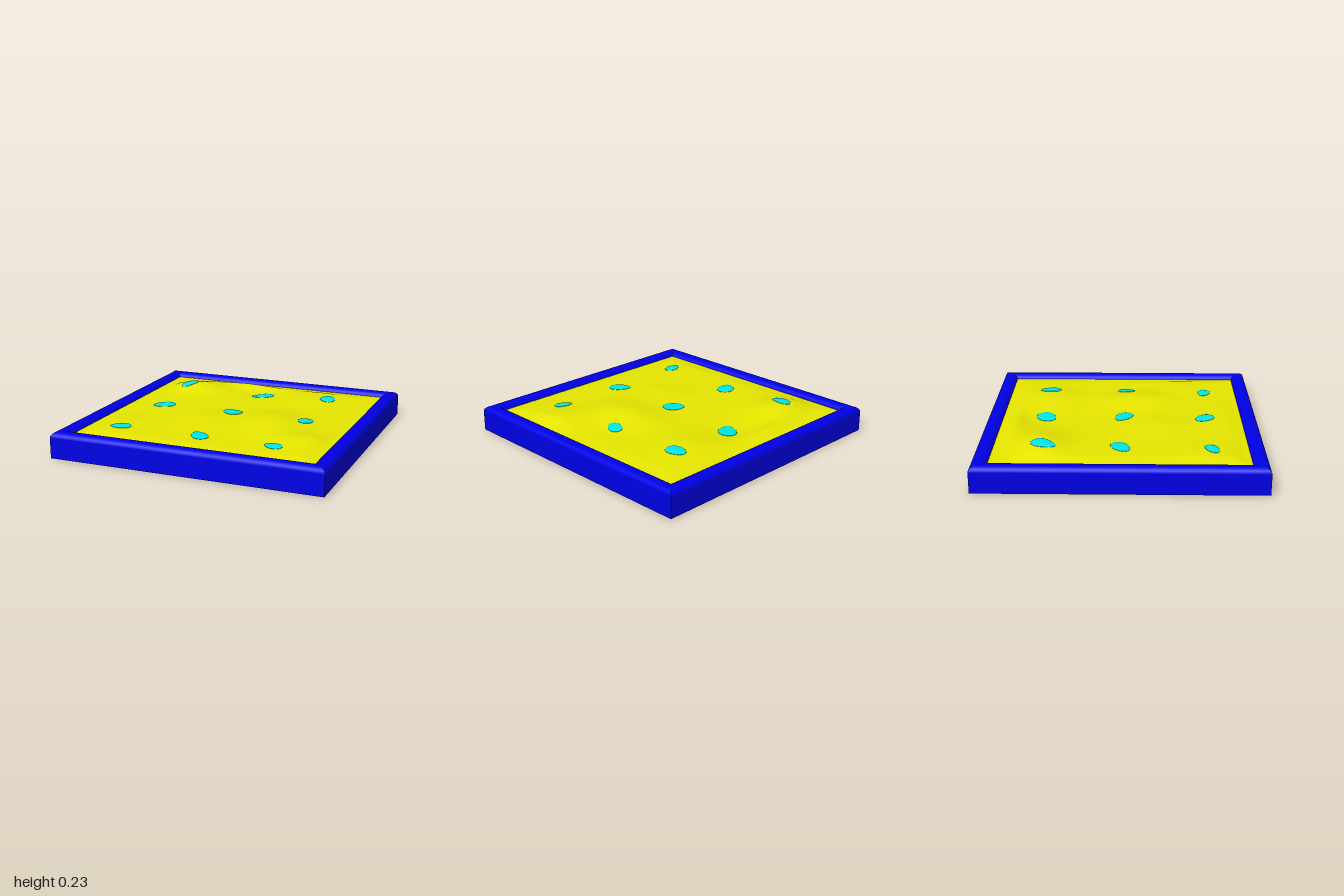
import * as THREE from 'three';

// Mounds and hollows of the sand: x, z, radius x, radius z, height
const MOUNDS = [
  [-0.56, -0.56, 0.22, 0.17, 0.05], [0.33, 0.14, 0.2, 0.28, 0.04],
  [-0.2, -0.82, 0.25, 0.1, 0.03], [0.65, 0.45, 0.2, 0.15, 0.025],
  [-0.2, 0.25, 0.2, 0.25, 0.022], [0.4, -0.55, 0.22, 0.2, 0.02],
  [-0.05, -0.62, 0.16, 0.1, -0.012], [-0.6, 0.5, 0.25, 0.2, 0.012],
];

function sandHeight(x, z) {
  let y = 0.168 + 0.003 * Math.sin(7 * x + 2 * z) + 0.003 * Math.sin(6 * z - 3 * x + 1);
  for (const [cx, cz, rx, rz, h] of MOUNDS) {
    y += h * Math.exp(-(((x - cx) / rx) ** 2) - ((z - cz) / rz) ** 2);
  }
  // Settle down towards the frame
  const edge = Math.max(Math.abs(x), Math.abs(z));
  const t = THREE.MathUtils.smoothstep(edge, 0.74, 0.9);
  return THREE.MathUtils.lerp(y, 0.155, t);
}

// One mitred side of the frame: the profile is (distance from centre, height)
function frameSide(material) {
  const profile = [[1, 0], [1, 0.15]];
  for (let i = 1; i <= 6; i++) {
    const a = (i / 6) * Math.PI / 2;
    profile.push([0.95 + 0.05 * Math.cos(a), 0.15 + 0.04 * Math.sin(a)]);
  }
  profile.push([0.945, 0.19]);
  for (let i = 1; i <= 6; i++) {
    const a = (i / 6) * Math.PI / 2;
    profile.push([0.945 - 0.055 * Math.sin(a), 0.15 + 0.04 * Math.cos(a)]);
  }
  profile.push([0.89, 0.02]);
  const pos = [], index = [];
  for (const [d, y] of profile) pos.push(-d, y, d, d, y, d);
  for (let i = 0; i < profile.length - 1; i++) {
    const a = i * 2;
    index.push(a, a + 1, a + 3, a, a + 3, a + 2);
  }
  const g = new THREE.BufferGeometry();
  g.setAttribute('position', new THREE.Float32BufferAttribute(pos, 3));
  g.setIndex(index);
  g.computeVertexNormals();
  return new THREE.Mesh(g, material);
}

function sandSheet() {
  const g = new THREE.PlaneGeometry(1.8, 1.8, 90, 90).rotateX(-Math.PI / 2);
  const p = g.attributes.position;
  for (let i = 0; i < p.count; i++) {
    const x = p.getX(i), z = p.getZ(i);
    // Slightly wandering outline
    const sx = 1 + 0.006 * Math.sin(6 * z + 1.5 * x) - 0.004;
    const sz = 1 + 0.006 * Math.sin(5 * x + 2 * z) - 0.004;
    p.setXYZ(i, x * sx, sandHeight(x * sx, z * sz), z * sz);
  }
  g.computeVertexNormals();
  return g;
}

// Egg-shaped flat pebble that follows the sand beneath it
function pebbleGeometry(cx, cz, long, short, angle) {
  const g = new THREE.SphereGeometry(1, 32, 14);
  const p = g.attributes.position;
  const c = Math.cos(angle), s = Math.sin(angle);
  for (let i = 0; i < p.count; i++) {
    const u = p.getX(i) * long;
    const v = p.getZ(i) * short * (1 + 0.18 * p.getX(i));
    const x = cx + u * c - v * s, z = cz + u * s + v * c;
    p.setXYZ(i, x, sandHeight(x, z) + 0.002 + p.getY(i) * 0.008, z);
  }
  g.computeVertexNormals();
  return g;
}

// x, z, half length, half width, turn in degrees
const PEBBLES = [
  [-0.63, -0.535, 0.09, 0.056, -75], [0, -0.565, 0.09, 0.066, -35], [0.537, -0.58, 0.083, 0.057, 85],
  [-0.6, 0, 0.087, 0.062, -30], [-0.03, 0.01, 0.084, 0.064, 30], [0.55, 0.025, 0.07, 0.05, -70],
  [-0.635, 0.635, 0.076, 0.049, -18], [-0.03, 0.615, 0.086, 0.058, 48], [0.525, 0.64, 0.07, 0.046, 18],
];

export function createModel() {
  const model = new THREE.Group();
  const blue = new THREE.MeshStandardMaterial({ color: 0x0000e6 });
  const yellow = new THREE.MeshStandardMaterial({ color: 0xe6e600, side: THREE.DoubleSide });
  const cyan = new THREE.MeshStandardMaterial({ color: 0x00e6e6 });

  // Frame
  const frame = new THREE.Group();
  frame.name = 'frame';
  for (let i = 0; i < 4; i++) {
    const side = frameSide(blue);
    side.name = 'frameSide';
    side.rotation.y = i * Math.PI / 2;
    frame.add(side);
  }
  model.add(frame);

  // Floor
  const floor = new THREE.Mesh(new THREE.BoxGeometry(1.998, 0.02, 1.998), blue);
  floor.name = 'floor';
  floor.position.y = 0.01;
  model.add(floor);

  // Sand
  const sand = new THREE.Mesh(sandSheet(), yellow);
  sand.name = 'sand';
  model.add(sand);

  // Pebbles
  const pebbles = new THREE.Group();
  pebbles.name = 'pebbles';
  for (const [x, z, long, short, deg] of PEBBLES) {
    const mesh = new THREE.Mesh(pebbleGeometry(x, z, long, short, THREE.MathUtils.degToRad(deg)), cyan);
    mesh.name = 'pebble';
    pebbles.add(mesh);
  }
  model.add(pebbles);
  return model;
}
